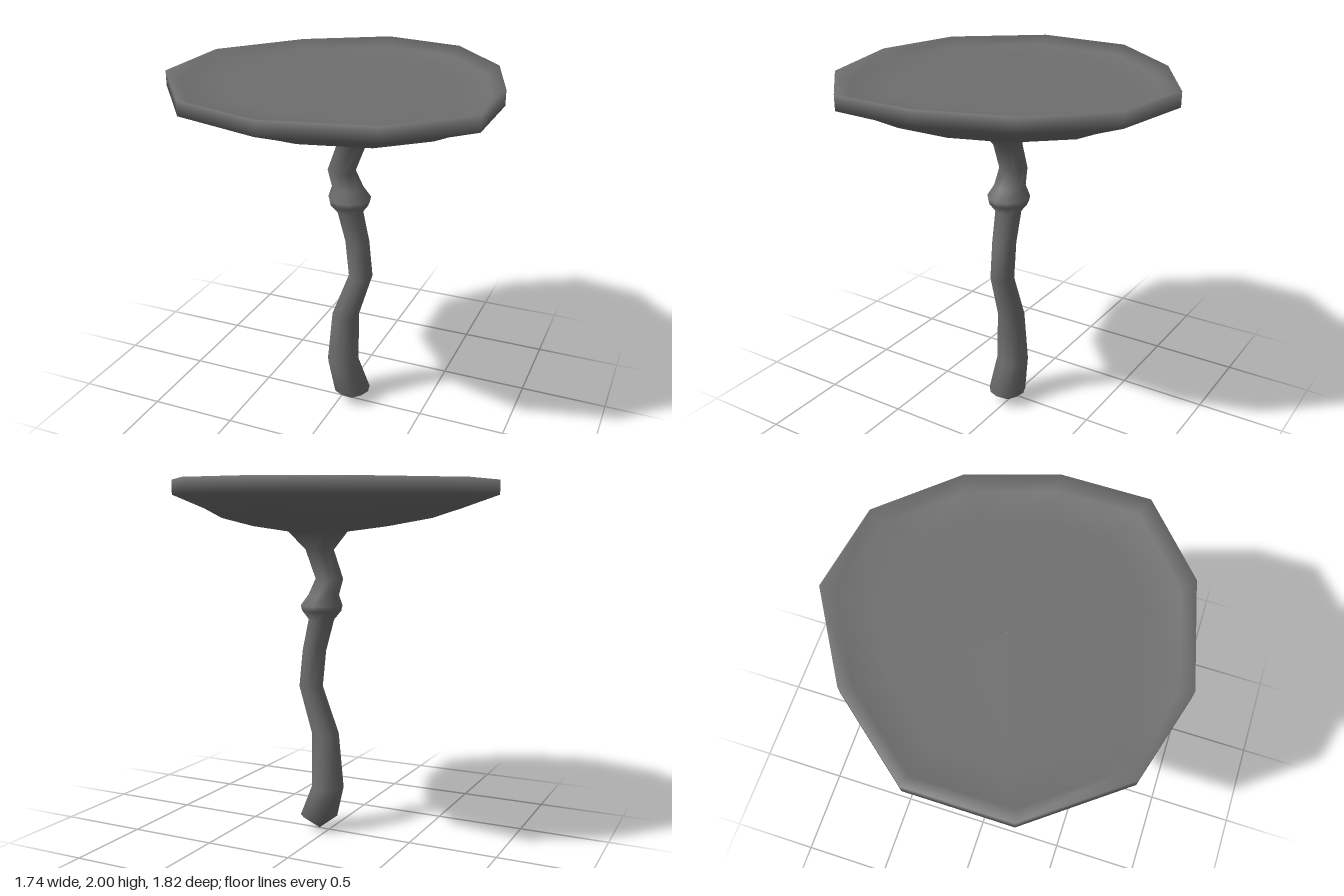
import * as THREE from 'three';

// Irregular rim outline (x, z), clockwise from the back
const OUTLINE = [
  [-0.07, -0.91], [0.39, -0.83], [0.72, -0.46], [0.87, 0], [0.87, 0.46], [0.51, 0.78],
  [-0.04, 0.91], [-0.52, 0.775], [-0.87, 0.32], [-0.87, -0.21], [-0.52, -0.64],
];

// Round stem sections: centre x, height, radius
const STEM = [
  [0.065, 0, 0.001], [0.067, 0.08, 0.108], [0.01, 0.26, 0.093], [0.025, 0.57, 0.078],
  [0.117, 0.84, 0.068], [0.095, 1.05, 0.068], [0.05, 1.23, 0.073], [0.048, 1.28, 0.112],
  [0.048, 1.31, 0.119], [0.035, 1.37, 0.087], [0, 1.46, 0.078], [0.06, 1.62, 0.08],
  [0.07, 1.72, 0.167],
];

// Cap sections: centre x, height, scale of the outline; up the underside, over the rim, into the dish
const CAP = [
  [0.07, 1.75, 0.42], [0.04, 1.795, 0.65], [0.01, 1.847, 0.79], [0, 1.92, 1],
  [0, 2, 1], [0, 1.955, 0.92], [0, 1.945, 0.7], [0, 1.94, 0.001],
];

export function createModel() {
  const n = OUTLINE.length;
  const positions = [];
  for (const [cx, y, r] of STEM) {
    for (let i = 0; i < n; i++) {
      const a = (i / n) * Math.PI * 2 - 0.07;
      positions.push(cx + Math.sin(a) * r, y, 0.005 - Math.cos(a) * r);
    }
  }
  for (const [cx, y, s] of CAP) {
    for (const [x, z] of OUTLINE) positions.push(cx + x * s, y, z * s);
  }

  // Quads between neighbouring sections
  const band = (from, to) => {
    const index = [];
    for (let j = from; j < to; j++) {
      for (let i = 0; i < n; i++) {
        const a = j * n + i, b = j * n + ((i + 1) % n);
        index.push(a, a + n, b, b, a + n, b + n);
      }
    }
    return index;
  };

  // One continuous skin, so shading flows smoothly from stem into cap
  const last = STEM.length + CAP.length - 1;
  const skin = new THREE.BufferGeometry();
  skin.setAttribute('position', new THREE.Float32BufferAttribute(positions, 3));
  skin.setIndex(band(0, last));
  skin.computeVertexNormals();

  const material = new THREE.MeshStandardMaterial({ color: 0x6e6e6e });
  const group = new THREE.Group();
  group.name = 'mushroom';
  const addPart = (name, from, to) => {
    const geometry = skin.clone();
    geometry.setIndex(band(from, to));
    const mesh = new THREE.Mesh(geometry, material);
    mesh.name = name;
    group.add(mesh);
  };
  addPart('stem', 0, STEM.length - 1);
  addPart('cap', STEM.length - 1, last);
  return group;
}
